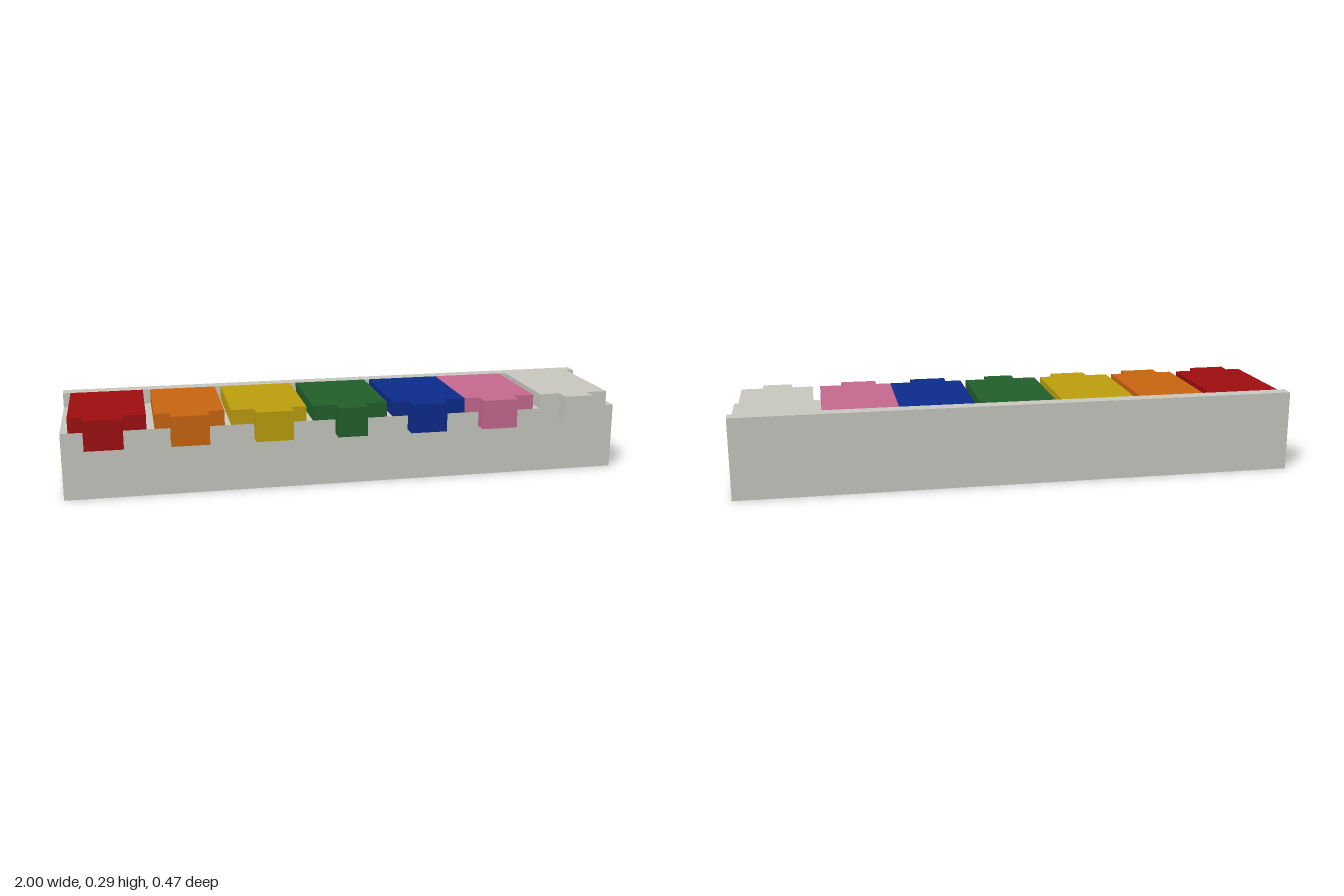
import * as THREE from 'three';

const mat = (name, color) => new THREE.MeshStandardMaterial({ name, color });

// Box given by its limits on each axis
function block(name, material, [x0, x1], [y0, y1], [z0, z1]) {
  const mesh = new THREE.Mesh(new THREE.BoxGeometry(x1 - x0, y1 - y0, z1 - z0), material);
  mesh.position.set((x0 + x1) / 2, (y0 + y1) / 2, (z0 + z1) / 2);
  mesh.name = name;
  return mesh;
}

export function createModel() {
  const model = new THREE.Group();
  model.name = 'keyRow';

  const TOP = 0.29, SEAT = 0.237, TAB_BOTTOM = 0.185;
  const FRONT = 0.185, TAB_FRONT = 0.237, BACK = -0.237, LEDGE = -0.185;
  const paleGrey = mat('pale grey', 0xc8c8c1);

  // Base with a raised ledge along the back: side profile swept across x
  const profile = new THREE.Shape([
    [BACK, 0], [FRONT, 0], [FRONT, SEAT], [LEDGE, SEAT], [LEDGE, TOP], [BACK, TOP],
  ].map(([z, y]) => new THREE.Vector2(z, y)));
  const baseGeometry = new THREE.ExtrudeGeometry(profile, { depth: 2, bevelEnabled: false });
  baseGeometry.rotateY(-Math.PI / 2).translate(1, 0, 0);
  const base = new THREE.Mesh(baseGeometry, paleGrey);
  base.name = 'base';
  model.add(base);

  // Keys: name, material, body x limits, tab x limits
  const keys = [
    ['redKey', mat('red', 0xa00d0f), [-0.973, -0.711], [-0.922, -0.79]],
    ['orangeKey', mat('orange', 0xc9650e), [-0.684, -0.444], [-0.631, -0.5]],
    ['yellowKey', mat('yellow', 0xbc9f0d), [-0.422, -0.157], [-0.342, -0.211]],
    ['greenKey', mat('green', 0x225f2b), [-0.134, 0.134], [-0.053, 0.053]],
    ['blueKey', mat('blue', 0x0c2c8b), [0.155, 0.422], [0.211, 0.342]],
    ['pinkKey', mat('pink', 0xc6698f), [0.422, 0.684], [0.476, 0.605]],
    ['greyKey', paleGrey, [0.711, 0.97], [0.787, 0.893]],
  ];
  for (const [name, material, body, tab] of keys) {
    const key = new THREE.Group();
    key.name = name;
    key.add(
      block('keyBody', material, body, [SEAT, TOP], [LEDGE, FRONT]),
      block('keyTab', material, tab, [TAB_BOTTOM, TOP], [FRONT, TAB_FRONT]),
    );
    model.add(key);
  }
  return model;
}
